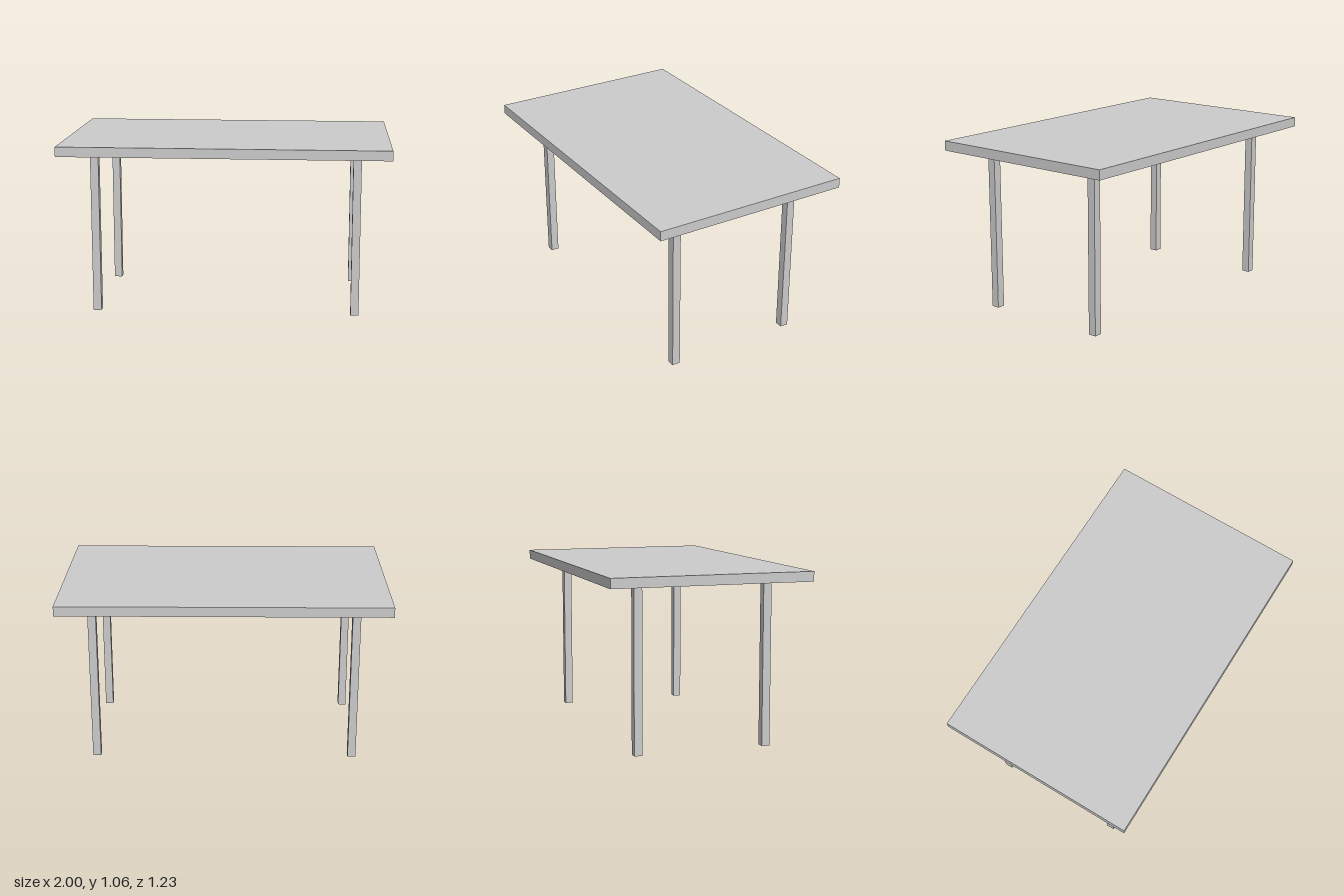
import * as THREE from 'three';

const TOP = { width: 2, thickness: 0.06, depth: 1.23 };
const LEG = { side: 0.05, height: 1, x: 0.8, z: 0.4 };

export function createModel() {
  const table = new THREE.Group();
  table.name = 'table';
  const material = new THREE.MeshStandardMaterial({ color: 0xcccccc });

  const addBox = (name, w, h, d, x, y, z) => {
    const mesh = new THREE.Mesh(new THREE.BoxGeometry(w, h, d), material);
    mesh.name = name;
    mesh.position.set(x, y, z);
    table.add(mesh);
  };

  // Flat slab resting on the legs
  addBox('tabletop', TOP.width, TOP.thickness, TOP.depth, 0, LEG.height + TOP.thickness / 2, 0);

  // Four square legs, inset from the corners
  for (const [end, sz] of [['front', 1], ['back', -1]]) {
    for (const [hand, sx] of [['Left', 1], ['Right', -1]]) {
      addBox(`${end}${hand}Leg`, LEG.side, LEG.height, LEG.side, sx * LEG.x, LEG.height / 2, sz * LEG.z);
    }
  }

  return table;
}
